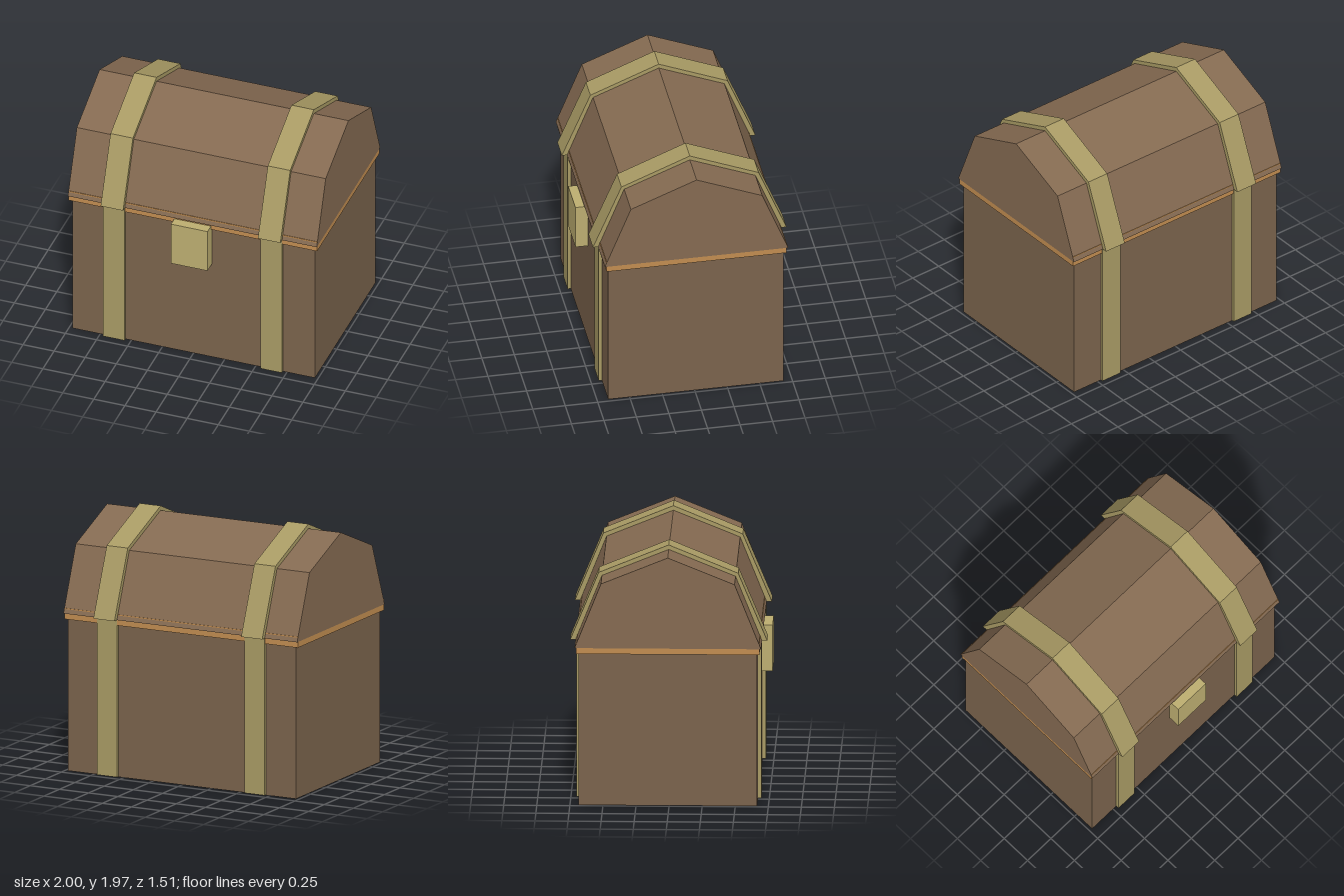
import * as THREE from 'three';

const material = (color) => new THREE.MeshStandardMaterial({ color, flatShading: true });

export function createModel() {
  const chest = new THREE.Group();
  chest.name = 'treasureChest';

  const bodyWood = material(0x7a634c);
  const lidWood = material(0x846a51);
  const trimWood = material(0xc08c50);
  const strapMetal = material(0xa89a64);
  const lockMetal = material(0xbcad70);

  const add = (name, geometry, mat) => {
    const mesh = new THREE.Mesh(geometry, mat);
    mesh.name = name;
    chest.add(mesh);
  };

  // Box given by its extents along each axis
  const box = (name, [x0, x1], [y0, y1], [z0, z1], mat) => {
    const g = new THREE.BoxGeometry(x1 - x0, y1 - y0, z1 - z0);
    g.translate((x0 + x1) / 2, (y0 + y1) / 2, (z0 + z1) / 2);
    add(name, g, mat);
  };

  // Prism along x from a [z, y] profile
  const prism = (name, profile, [x0, x1], mat) => {
    const shape = new THREE.Shape(profile.map(([z, y]) => new THREE.Vector2(z, y)));
    const g = new THREE.ExtrudeGeometry(shape, { depth: x1 - x0, bevelEnabled: false });
    g.rotateY(-Math.PI / 2);
    g.translate(x1, 0, 0);
    add(name, g, mat);
  };

  // Wooden box, rim and faceted lid
  box('body', [-0.975, 0.975], [0, 1.2], [-0.685, 0.665], bodyWood);
  box('rimTrim', [-0.999, 0.999], [1.18, 1.265], [-0.702, 0.683], trimWood);
  const lidProfile = [[0.695, 1.225], [0.495, 1.725], [-0.01, 1.93], [-0.515, 1.725], [-0.715, 1.225]];
  prism('lid', lidProfile, [-1, 1], lidWood);

  // Metal straps around the body and over the lid
  const strapProfile = [[0.735, 1.225], [0.515, 1.748], [-0.01, 1.965], [-0.54, 1.748], [-0.755, 1.225]];
  for (const [side, x] of [['left', 0.632], ['right', -0.632]]) {
    box(side + 'BodyStrap', [x - 0.086, x + 0.086], [0.002, 1.224], [-0.706, 0.69], strapMetal);
    prism(side + 'LidStrap', strapProfile, [x - 0.09, x + 0.09], strapMetal);
  }

  // Lock plate on the front
  box('lock', [-0.148, 0.146], [0.85, 1.21], [0.66, 0.76], lockMetal);

  return chest;
}
